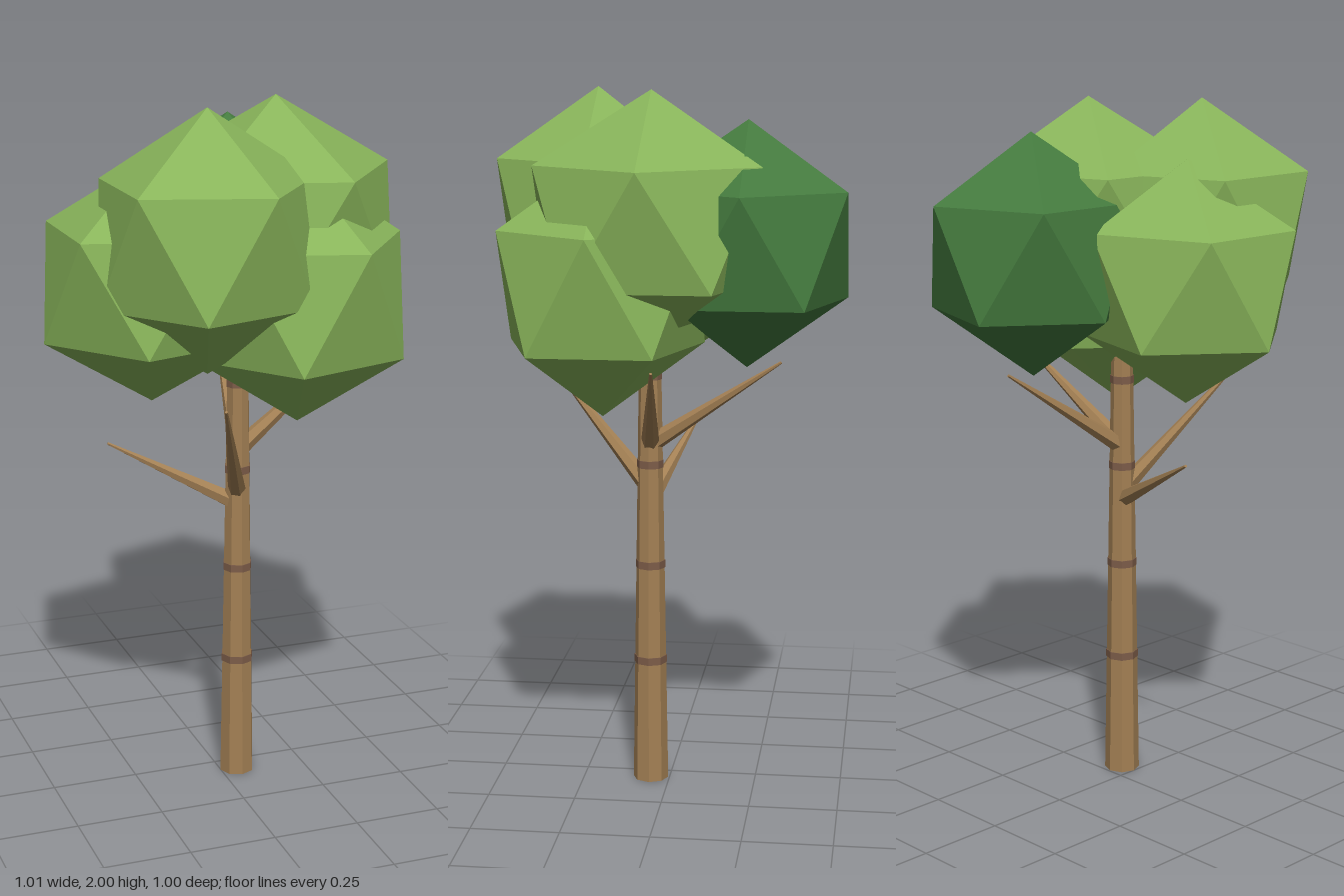
import * as THREE from 'three';

function material(name, color) {
  const m = new THREE.MeshStandardMaterial({ color, flatShading: true });
  m.name = name;
  return m;
}

export function createModel() {
  const tree = new THREE.Group();
  tree.name = 'tree';
  const bark = material('bark', 0xa38054);
  const barkRing = material('bark ring', 0x7d5d49);
  const leaf = material('light leaf', 0x88b45a);
  const darkLeaf = material('dark leaf', 0x447a3e);

  const add = (name, geometry, mat, position) => {
    const mesh = new THREE.Mesh(geometry, mat);
    mesh.name = name;
    mesh.position.set(...position);
    tree.add(mesh);
    return mesh;
  };

  // Tapered trunk
  const trunkX = 0.05, trunkZ = 0.055, trunkTop = 1.27, sides = 8;
  const trunkRadius = y => 0.051 - 0.0155 * y;
  add('trunk', new THREE.CylinderGeometry(trunkRadius(trunkTop), trunkRadius(0), trunkTop, sides),
    bark, [trunkX, trunkTop / 2, trunkZ]);

  // Thin rings around the bark
  for (const y of [0.365, 0.65, 0.945, 1.2]) {
    const r = trunkRadius(y) + 0.002;
    add('barkRing', new THREE.CylinderGeometry(r, r, 0.022, sides), barkRing, [trunkX, y, trunkZ]);
  }

  // Bare pointed branches: height on the trunk, then the tip
  const branches = [
    [0.84, [-0.305, 1.025, -0.05]],
    [0.87, [-0.1, 1.213, 0.37]],
    [1.0, [0.42, 1.268, 0.005]],
    [1.0, [0.12, 1.255, -0.32]],
  ];
  const up = new THREE.Vector3(0, 1, 0);
  for (const [y, tip] of branches) {
    const start = new THREE.Vector3(trunkX, y, trunkZ);
    const along = new THREE.Vector3(...tip).sub(start);
    const length = along.length();
    const geometry = new THREE.CylinderGeometry(0.004, 0.027, length, 6).translate(0, length / 2, 0);
    add('branch', geometry, bark, start.toArray())
      .quaternion.setFromUnitVectors(up, along.normalize());
  }

  // Faceted leaf clumps, each standing on a corner: centre, radii
  const clumpShape = new THREE.IcosahedronGeometry(1, 0);
  clumpShape.rotateZ(-Math.atan(2 / (1 + Math.sqrt(5))));
  const clumps = [
    ['frontClump', leaf, [-0.1, 1.64, 0.22], [0.342, 0.36, 0.325]],
    ['topClump', leaf, [0.165, 1.64, 0.035], [0.38, 0.36, 0.365]],
    ['lowFrontClump', leaf, [0.185, 1.465, 0.17], [0.337, 0.36, 0.323]],
    ['sideClump', leaf, [-0.205, 1.51, 0.053], [0.341, 0.34, 0.321]],
    ['backClump', darkLeaf, [0.12, 1.58, -0.225], [0.324, 0.34, 0.323]],
  ];
  for (const [name, mat, centre, radii] of clumps) {
    add(name, clumpShape, mat, centre).scale.set(...radii);
  }
  return tree;
}
